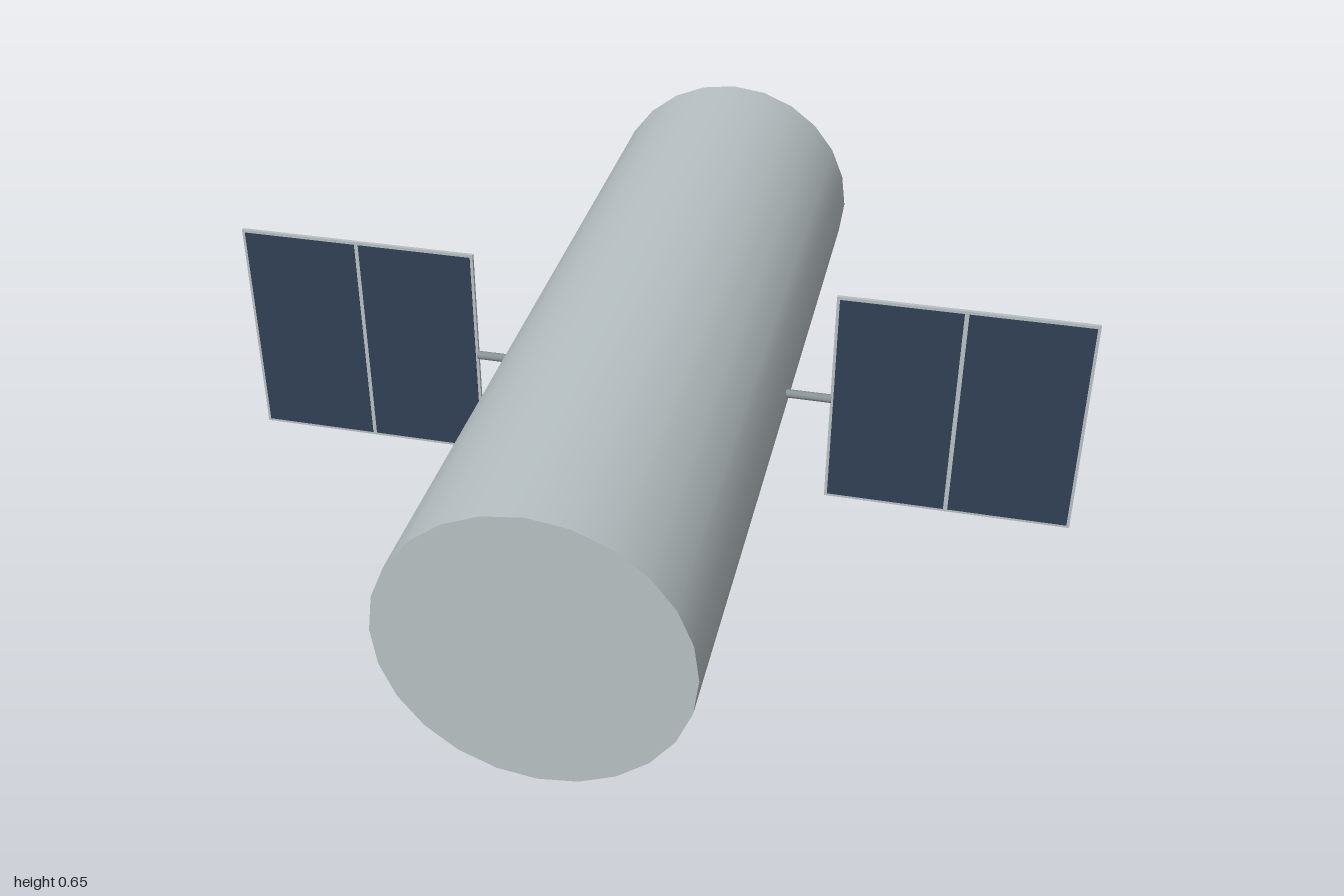
import * as THREE from 'three';

const R = 0.323; // body radius, also the height of the axis

function mat(name, color) {
  const m = new THREE.MeshStandardMaterial({ color });
  m.name = name;
  return m;
}

export function createModel() {
  const root = new THREE.Group();
  root.name = 'satellite';
  const hullGrey = mat('hullGrey', 0xb8c1c4);
  const cellBlue = mat('cellBlue', 0x304056);
  const rodGrey = mat('rodGrey', 0x8a9296);

  const add = (parent, name, geo, material, x, y, z) => {
    const m = new THREE.Mesh(geo, material);
    m.name = name;
    m.position.set(x, y, z);
    parent.add(m);
    return m;
  };

  // Long cylindrical hull lying along z
  const hull = new THREE.CylinderGeometry(R, R, 2, 24).rotateX(Math.PI / 2);
  add(root, 'body', hull, hullGrey, 0, R, 0);

  // Mirrored solar wings
  const inner = 0.425, outer = 1, width = outer - inner, height = 0.546;
  const rodStart = 0.3, rodLength = inner + 0.002 - rodStart;
  const border = 0.007, gap = 0.01, depth = 0.008;
  const cellWidth = (width - 2 * border - gap) / 2;
  for (const side of [1, -1]) {
    const wing = new THREE.Group();
    wing.name = side > 0 ? 'leftWing' : 'rightWing';
    wing.position.y = R + 0.002;
    root.add(wing);
    const mid = side * (inner + outer) / 2;

    const rod = new THREE.CylinderGeometry(0.01, 0.01, rodLength, 12).rotateZ(Math.PI / 2);
    add(wing, 'strut', rod, rodGrey, side * (rodStart + rodLength / 2), 0, 0);
    add(wing, 'panel', new THREE.BoxGeometry(width, height, depth), hullGrey, mid, 0, 0);

    // Two dark cells on the front face only
    for (const k of [-1, 1]) {
      add(wing, 'solarCell', new THREE.BoxGeometry(cellWidth, height - 2 * border, 0.002),
        cellBlue, mid + k * (cellWidth + gap) / 2, 0, depth / 2 + 0.0005);
    }
  }
  return root;
}
